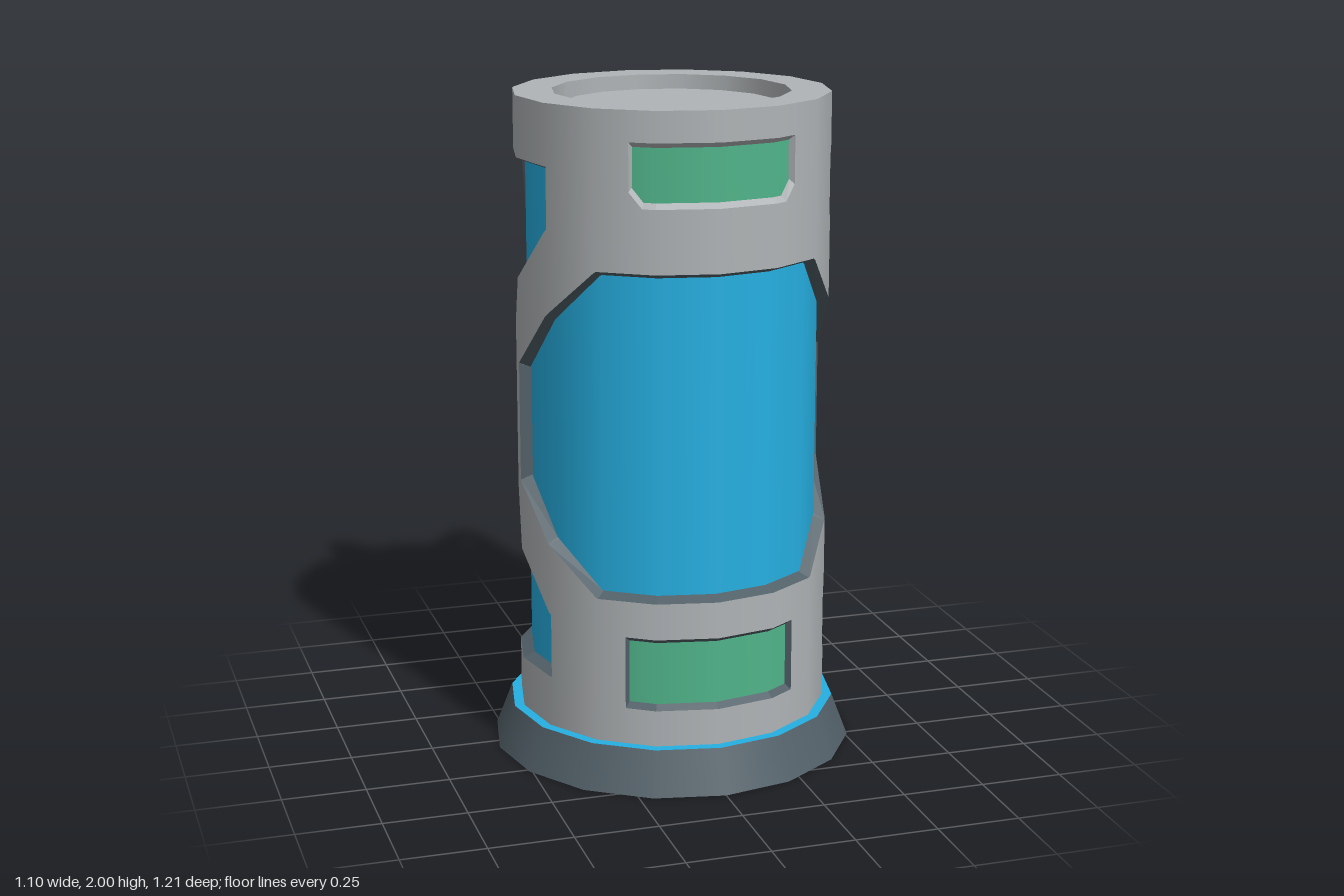
import * as THREE from 'three';
import { ConvexGeometry } from 'three/addons/geometries/ConvexGeometry.js';

const SIDES = 16, STEP = (Math.PI * 2) / SIDES;
const R = 0.47, CORE_R = 0.435, PANE_R = 0.45, AXIS_Z = 0.053;
const Y0 = 0.13, Y1 = 2;

const mat = (name, color) => {
  const m = new THREE.MeshStandardMaterial({ color, side: THREE.DoubleSide });
  m.name = name;
  return m;
};

// Openings in the shell: rows of [depth along z, bottom, top], back to front
const WINDOWS = [
  { name: 'frontWindow', rows: [[0, 0.85, 1.21], [0.337, 0.57, 1.54], [R, 0.57, 1.54]] },
  { name: 'upperBackWindow', rows: [[-R, 1.03, 1.82], [0.187, 1.64, 1.82]] },
  { name: 'lowerBackWindow', rows: [[-0.323, 0.9, 0.9], [0.187, 0.48, 0.48]].map(([z, t]) => [z, 0.285, t]) },
  { name: 'upperPanel', pane: true, pale: true, rows: [[0.398, 1.77, 1.91], [0.418, 1.725, 1.91], [R, 1.725, 1.91]] },
  { name: 'lowerPanel', pane: true, rows: [[0.39, 0.24, 0.46], [R, 0.24, 0.46]] },
];

// Bottom and top of an opening at an angle measured from the front
function bounds(w, a) {
  const z = R * Math.cos(a), r = w.rows;
  if (z <= r[0][0]) return r[0].slice(1);
  for (let i = 1; i < r.length; i++) {
    if (z <= r[i][0]) {
      const t = (z - r[i - 1][0]) / (r[i][0] - r[i - 1][0]);
      return [1, 2].map((k) => r[i - 1][k] + t * (r[i][k] - r[i - 1][k]));
    }
  }
  return r[r.length - 1].slice(1);
}

const isOpen = (w, a) => {
  const z = R * Math.cos(a);
  return z > w.rows[0][0] && z < w.rows[w.rows.length - 1][0];
};

// Point on the sixteen-sided wall
function onWall(a, y, radius) {
  const local = a - (Math.floor(a / STEP) + 0.5) * STEP;
  const r = (radius * Math.cos(STEP / 2)) / Math.cos(local);
  return [r * Math.sin(a), y, r * Math.cos(a)];
}

// Collects quads given as [angle, y, radius] corners
function quadGeometry(quads, smooth) {
  const pos = [], nor = [];
  for (const q of quads) {
    for (const i of [0, 1, 2, 0, 2, 3]) {
      const [a, y, r] = q[i];
      pos.push(...onWall(a, y, r));
      nor.push(Math.sin(a), 0, Math.cos(a));
    }
  }
  const g = new THREE.BufferGeometry();
  g.setAttribute('position', new THREE.Float32BufferAttribute(pos, 3));
  if (smooth) g.setAttribute('normal', new THREE.Float32BufferAttribute(nor, 3));
  else g.computeVertexNormals();
  return g;
}

// Angles where the wall bends or an opening changes
function sliceAngles() {
  const set = [];
  for (let i = -SIDES / 2; i <= SIDES / 2; i++) set.push(i * STEP);
  for (const w of WINDOWS) {
    for (const [z] of w.rows) {
      const a = Math.acos(z / R);
      set.push(a, -a);
    }
  }
  set.sort((a, b) => a - b);
  return set.filter((a, i) => i === 0 || a - set[i - 1] > 1e-5);
}

export function createModel() {
  const grey = mat('lightGrey', 0xb0b4b6);
  const slate = mat('slate', 0x526068);
  const blue = mat('blue', 0x26b0e2);
  const green = mat('green', 0x50b48a);

  const model = new THREE.Group();
  const body = new THREE.Group();
  body.name = 'canister';
  body.position.z = AXIS_Z;
  model.add(body);
  const add = (parent, name, geometry, material, y = 0) => {
    const m = new THREE.Mesh(geometry, material);
    m.name = name;
    m.position.y = y;
    parent.add(m);
    return m;
  };

  // Flared foot with a blue top face
  add(body, 'base', new THREE.CylinderGeometry(0.5, 0.55, Y0, SIDES), [slate, blue, slate], Y0 / 2);

  // Inner tank
  add(body, 'tank', new THREE.CylinderGeometry(CORE_R, CORE_R, 1.76, SIDES, 1, true), blue, 1);

  // Shell cut by the openings, with rims and panes
  const angles = sliceAngles();
  const shell = [];
  const rims = WINDOWS.map(() => []), panes = WINDOWS.map(() => []);
  for (let i = 0; i + 1 < angles.length; i++) {
    const a = angles[i], b = angles[i + 1], mid = (a + b) / 2;
    const open = WINDOWS.filter((w) => isOpen(w, mid));
    open.sort((u, v) => bounds(u, mid)[0] - bounds(v, mid)[0]);
    let la = Y0, lb = Y0;
    const strip = (ya, yb) => shell.push([[a, la, R], [b, lb, R], [b, yb, R], [a, ya, R]]);
    for (const w of open) {
      const k = WINDOWS.indexOf(w), A = bounds(w, a), B = bounds(w, b);
      strip(A[0], B[0]);
      [la, lb] = [A[1], B[1]];
      const ri = w.pane ? PANE_R : CORE_R, inset = 0.015;
      rims[k].push(
        [[a, A[0], R], [a, A[0] + inset, ri], [b, B[0] + inset, ri], [b, B[0], R]],
        [[a, A[1], R], [b, B[1], R], [b, B[1] - inset, ri], [a, A[1] - inset, ri]],
      );
      // Upright rim where the opening ends
      for (const [e, E, d] of [[a, A, -1e-3], [b, B, 1e-3]]) {
        if (isOpen(w, e + d)) continue;
        rims[k].push([[e, E[0], R], [e, E[1], R], [e - d * 12, E[1] - inset, ri], [e - d * 12, E[0] + inset, ri]]);
      }
      if (w.pane) panes[k].push([[a, A[0], ri], [b, B[0], ri], [b, B[1], ri], [a, A[1], ri]]);
    }
    strip(Y1, Y1);
  }
  add(body, 'shell', quadGeometry(shell, true), grey);
  WINDOWS.forEach((w, k) => {
    add(body, w.name + 'Rim', quadGeometry(rims[k], false), w.pale ? grey : slate);
    if (w.pane) add(body, w.name + 'Pane', quadGeometry(panes[k], true), green);
  });

  // Top ring, recess and lid
  const flatRing = (inner, outer) => new THREE.RingGeometry(inner, outer, SIDES).rotateX(-Math.PI / 2);
  const hole = (h) => new THREE.CylinderGeometry(0.353, 0.353, h, SIDES, 1, true);
  add(body, 'topRing', flatRing(0.353, R), grey, Y1);
  add(body, 'recessWall', hole(0.055), grey, 1.9725);
  add(body, 'recessLowerWall', hole(0.045), blue, 1.9225);
  add(body, 'recessFloor', flatRing(0.3, 0.353), grey, 1.9);
  add(body, 'lid', new THREE.CylinderGeometry(0.32, 0.32, 0.06, SIDES), grey, 1.93);

  // Back block with a sloped, narrowing top
  const block = [];
  for (const s of [-1, 1]) {
    for (const [x, y, z] of [
      [0.2, 0, -0.34], [0.2, 0, -0.45], [0.17, 0, -0.547],
      [0.2, 0.93, -0.34], [0.2, 0.93, -0.45], [0.17, 0.9, -0.547],
      [0.12, 1.04, -0.4], [0.12, 1.04, -0.34],
    ]) block.push(new THREE.Vector3(s * x, y, z));
  }
  add(model, 'backBlock', new ConvexGeometry(block), grey);

  // Pair of hoses running down the back
  for (const s of [-1, 1]) {
    const points = [
      [0.09, 1.9, -0.36], [0.15, 1.9, -0.44], [0.22, 1.9, -0.53], [0.25, 1.875, -0.557],
      [0.26, 1.8, -0.56], [0.26, 1.6, -0.52], [0.26, 1.4, -0.475], [0.26, 1.25, -0.462],
      [0.26, 0.85, -0.46], [0.26, 0.46, -0.46], [0.245, 0.43, -0.45], [0.2, 0.425, -0.42],
    ].map(([x, y, z]) => new THREE.Vector3(s * x, y, z));
    const path = new THREE.CatmullRomCurve3(points);
    const hose = new THREE.Group();
    hose.name = s > 0 ? 'leftHose' : 'rightHose';
    add(hose, 'hoseTube', new THREE.TubeGeometry(path, 60, 0.044, 10), slate);
    const tip = add(hose, 'hoseTip', new THREE.CircleGeometry(0.044, 10), slate);
    tip.position.copy(points[points.length - 1]);
    tip.lookAt(tip.position.clone().add(path.getTangent(1)));
    model.add(hose);
  }
  return model;
}
